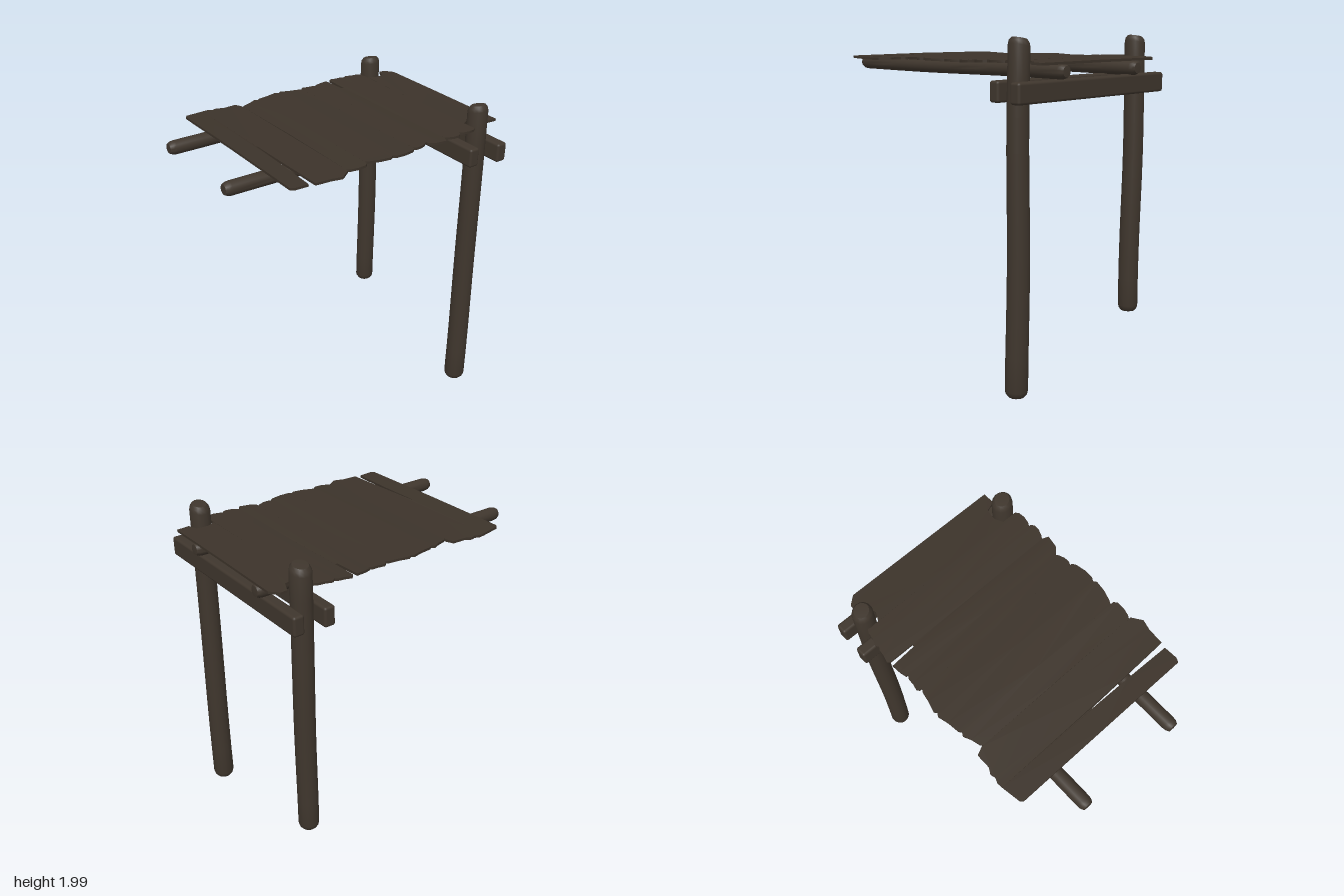
import * as THREE from 'three';
import { RoundedBoxGeometry } from 'three/addons/geometries/RoundedBoxGeometry.js';
import { toCreasedNormals } from 'three/addons/utils/BufferGeometryUtils.js';

const wood = new THREE.MeshStandardMaterial({ color: 0x3f362d });
wood.name = 'weathered wood';
const board = new THREE.MeshStandardMaterial({ color: 0x3c332a });
board.name = 'roof board wood';

// Moves every vertex of a geometry by a rule
function warp(geometry, rule) {
  const p = geometry.attributes.position;
  const v = new THREE.Vector3();
  for (let i = 0; i < p.count; i++) {
    v.fromBufferAttribute(p, i);
    rule(v);
    p.setXYZ(i, v.x, v.y, v.z);
  }
  return geometry;
}

// Hand-cut log standing on y = 0, with worn ends and a slightly wavy trunk
function logGeometry(length, rBottom, rTop, wobble, phase) {
  const c = 0.02;
  const pts = [[0, 0], [rBottom * 0.72, 0.003], [rBottom * 0.93, c]];
  for (let i = 0; i <= 10; i++) {
    const t = i / 10;
    pts.push([rBottom + (rTop - rBottom) * t, 2 * c + (length - 4 * c) * t]);
  }
  pts.push([rTop * 0.93, length - c], [rTop * 0.72, length - 0.003], [0, length]);
  const g = new THREE.LatheGeometry(pts.map(([x, y]) => new THREE.Vector2(x, y)), 14);
  warp(g, (v) => {
    const a = (v.y / length) * 9 + phase;
    v.x += wobble * Math.sin(a);
    v.z += wobble * Math.cos(a * 0.8);
  });
  return toCreasedNormals(g, 0.7);
}

function addMesh(parent, name, geometry, material) {
  const m = new THREE.Mesh(geometry, material);
  m.name = name;
  parent.add(m);
  return m;
}

// Roof sag, shared by all boards so that they meet
const roofWave = (x, z) => 0.004 * Math.sin(z * 9 + 1) + 0.003 * Math.sin(x * 5 + z * 4);

// Roof board from a plan outline of [x, z] points
function boardGeometry(outline) {
  const shape = new THREE.Shape(outline.map(([x, z]) => new THREE.Vector2(x, -z)));
  const g = new THREE.ExtrudeGeometry(shape, { depth: 0.014, bevelEnabled: false });
  g.rotateX(-Math.PI / 2);
  warp(g, (v) => { v.y += 1.852 + roofWave(v.x, v.z); });
  return toCreasedNormals(g, 0.6);
}

export function createModel() {
  const model = new THREE.Group();
  model.name = 'leanToShelter';

  // Posts: the right one is cut short at its foot
  const posts = [
    { name: 'rightPost', x: -0.522, y: 0.27, r0: 0.062, r1: 0.061, side: -1 },
    { name: 'leftPost', x: 0.506, y: 0.005, r0: 0.066, r1: 0.06, side: 1 },
  ];
  for (const { name, x, y, r0, r1, side } of posts) {
    const len = 2 - y;
    const g = logGeometry(len, r0, r1, 0.003, side);
    // Slanted top cut
    warp(g, (v) => { if (v.y > len - 0.05) v.y -= 0.012 * (1 - v.x / 0.06 ); });
    warp(g, (v) => { if (v.y > len) v.y = len; });
    addMesh(model, name, g, wood).position.set(x, y, -0.71);
  }

  // Twin cross beams clamping the posts
  const beams = [
    { name: 'frontCrossBeam', x0: -0.65, x1: 0.605, z: -0.62 },
    { name: 'backCrossBeam', x0: -0.64, x1: 0.64, z: -0.803 },
  ];
  for (const { name, x0, x1, z } of beams) {
    const g = new RoundedBoxGeometry(x1 - x0, 0.116, 0.068, 2, 0.015);
    const m = addMesh(model, name, g, wood);
    m.position.set((x0 + x1) / 2, 1.711, z);
    m.rotation.z = -0.006;
  }

  // Rafters resting on the beams
  for (const [name, x, phase] of [['rightRafter', -0.331, 0], ['leftRafter', 0.302, 2]]) {
    const g = logGeometry(1.742, 0.043, 0.041, 0.002, phase);
    g.rotateX(Math.PI / 2);
    addMesh(model, name, g, wood).position.set(x, 1.81, -0.871);
  }

  // Roof boards: back z, front z, then back/front x at the right and left ends
  const roof = new THREE.Group();
  roof.name = 'roof';
  model.add(roof);
  const boards = [
    [-0.65, -0.53, -0.555, -0.575, 0.565, 0.56],
    [-0.53, -0.42, -0.575, -0.59, 0.575, 0.56],
    [-0.30, -0.19, -0.565, -0.575, 0.545, 0.56],
    [-0.19, -0.03, -0.56, -0.59, 0.575, 0.585],
    [-0.03, 0.14, -0.59, -0.565, 0.585, 0.555],
    [0.14, 0.27, -0.565, -0.53, 0.58, 0.57],
  ];
  for (const [z0, z1, a0, a1, b0, b1] of boards) {
    const zm = (z0 + z1) / 2;
    const outline = [
      [a0 + 0.012, z0], [a0, z0 + 0.02], [(a0 + a1) / 2 + 0.004, zm], [a1, z1 - 0.015], [a1 + 0.012, z1],
      [0, z1],
      [b1 - 0.012, z1], [b1, z1 - 0.02], [(b0 + b1) / 2 + 0.006, zm], [b0, z0 + 0.02], [b0 - 0.015, z0],
      [0, z0],
    ];
    addMesh(roof, 'roofBoard', boardGeometry(outline), board);
  }
  // Rear board notched around both posts
  addMesh(roof, 'rearBoard', boardGeometry([
    [-0.47, -0.872], [-0.52, -0.83], [-0.52, -0.79], [-0.455, -0.76], [-0.445, -0.70], [-0.47, -0.65],
    [0, -0.65], [0.46, -0.65], [0.435, -0.70], [0.445, -0.77], [0.505, -0.79], [0.505, -0.865], [0, -0.868],
  ]), board);
  // Board with a split at its right end
  addMesh(roof, 'splitBoard', boardGeometry([
    [-0.58, -0.395], [-0.575, -0.34], [-0.565, -0.30], [0, -0.30], [0.545, -0.30],
    [0.572, -0.33], [0.585, -0.405], [0.55, -0.42], [0, -0.42], [-0.42, -0.42], [-0.42, -0.405],
  ]), board);
  // Wide board with a pointed left end
  addMesh(roof, 'wideBoard', boardGeometry([
    [-0.53, 0.27], [-0.575, 0.29], [-0.575, 0.375], [-0.595, 0.41], [-0.588, 0.44], [-0.6, 0.47],
    [-0.597, 0.505], [0.04, 0.505], [0.3, 0.498], [0.59, 0.49], [0.595, 0.395], [0.612, 0.33], [0.57, 0.27],
  ]), board);
  // Front edge board, split away at its left end
  addMesh(roof, 'frontBoard', boardGeometry([
    [-0.597, 0.505], [-0.58, 0.62], [-0.565, 0.633], [0, 0.633], [0.57, 0.633], [0.582, 0.61],
    [0.58, 0.525], [0.3, 0.515], [0.04, 0.51], [0.04, 0.505],
  ]), board);

  return model;
}
